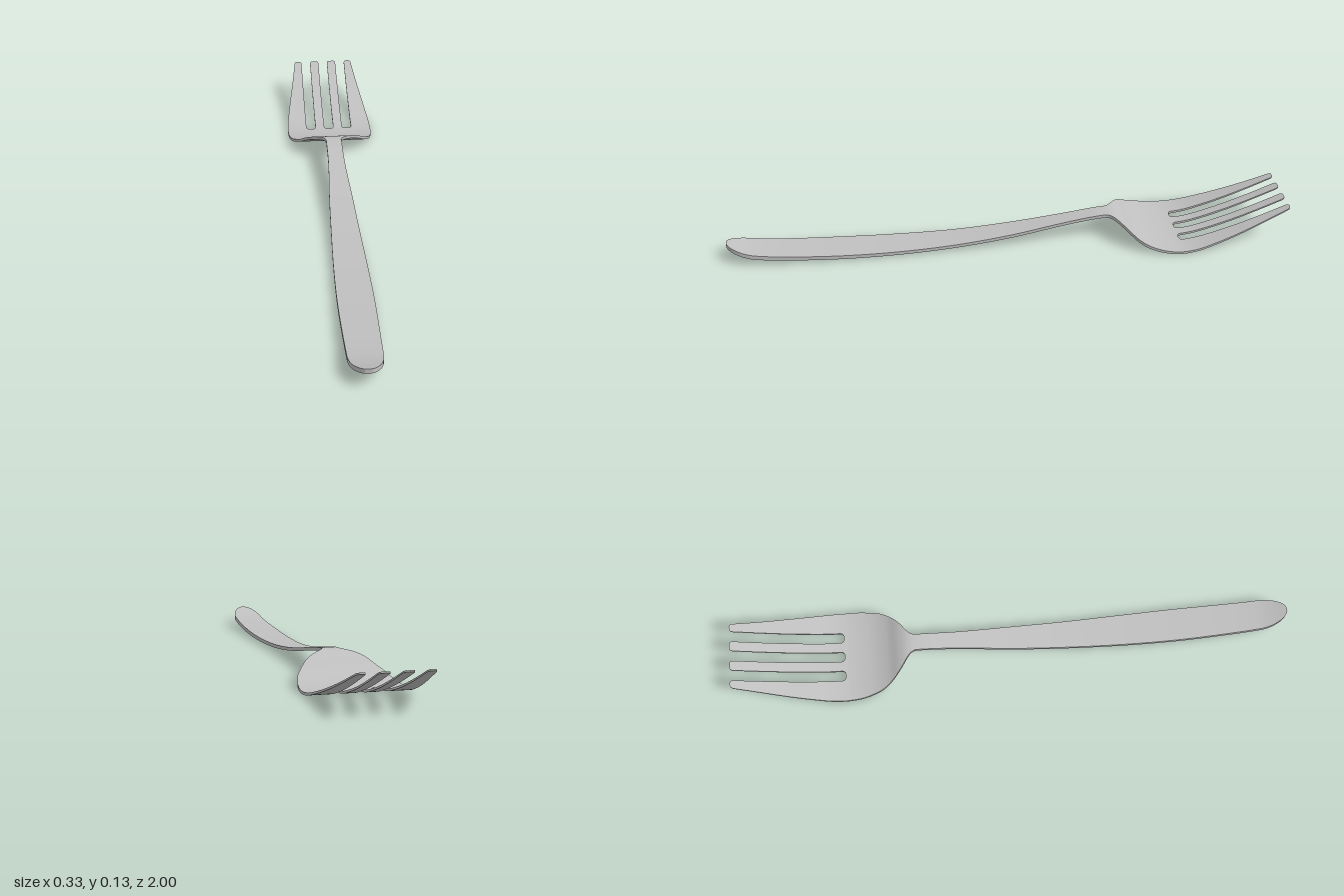
import * as THREE from 'three';
import { toCreasedNormals } from 'three/addons/utils/BufferGeometryUtils.js';

// Smooth interpolation through [z, value] pairs sorted by z
function curve(points) {
  const n = points.length - 1;
  const slope = (i) => {
    const a = points[Math.max(i - 1, 0)], b = points[Math.min(i + 1, n)];
    return (b[1] - a[1]) / (b[0] - a[0]);
  };
  return (z) => {
    let i = 0;
    while (i < n - 1 && z > points[i + 1][0]) i++;
    const [z0, v0] = points[i], [z1, v1] = points[i + 1];
    const h = z1 - z0, t = (z - z0) / h, t2 = t * t, t3 = t2 * t;
    return v0 * (2 * t3 - 3 * t2 + 1) + v1 * (3 * t2 - 2 * t3)
      + h * (slope(i) * (t3 - 2 * t2 + t) + slope(i + 1) * (t3 - t2));
  };
}

// Side profile: middle height and thickness along the fork
const height = curve([
  [-1, 0.132], [-0.9, 0.09], [-0.8, 0.052], [-0.7, 0.021], [-0.65, 0.01], [-0.6, 0.006],
  [-0.55, 0.011], [-0.5, 0.023], [-0.45, 0.046], [-0.41, 0.075], [-0.38, 0.089],
  [-0.35, 0.092], [-0.3, 0.088], [-0.2, 0.073], [0, 0.042], [0.2, 0.022], [0.4, 0.015],
  [0.6, 0.017], [0.8, 0.027], [0.9, 0.038], [0.95, 0.05], [1, 0.067],
]);
const thickness = curve([[-1, 0.005], [-0.6, 0.009], [-0.4, 0.012], [-0.2, 0.012], [0.4, 0.013], [1, 0.017]]);

// Half widths seen from above
const headWidth = curve([
  [-1, 0.119], [-0.9, 0.133], [-0.8, 0.148], [-0.7, 0.161], [-0.65, 0.166], [-0.6, 0.167],
  [-0.55, 0.164], [-0.5, 0.153], [-0.47, 0.142], [-0.43, 0.113], [-0.4, 0.08],
  [-0.38, 0.052], [-0.365, 0.036], [-0.35, 0.03], [-0.34, 0.029],
]);
const stemWidth = curve([
  [-0.35, 0.029], [-0.2, 0.031], [0, 0.042], [0.2, 0.05], [0.4, 0.057], [0.6, 0.06], [0.8, 0.057], [1, 0.052],
]);
const handleWidth = (z) => stemWidth(z) * (z > 0.9 ? Math.sqrt(Math.max(0, 1 - ((z - 0.9) / 0.1) ** 2)) : 1);

// Bent metal strip between two edge functions from z0 to z1
function strip(name, material, z0, z1, steps, left, right, capped = false) {
  const pos = [], idx = [];
  for (let i = 0; i <= steps; i++) {
    const z = z0 + (z1 - z0) * (1 - Math.cos(Math.PI * i / steps)) / 2;
    const y = height(z), t = thickness(z) / 2;
    const l = left(z), r = right(z);
    pos.push(l, y + t, z, r, y + t, z, r, y - t, z, l, y - t, z);
    if (i === steps) break;
    for (let j = 0; j < 4; j++) {
      const a = i * 4 + j, b = i * 4 + (j + 1) % 4;
      idx.push(a, a + 4, b + 4, a, b + 4, b);
    }
  }
  if (capped) idx.push(0, 1, 2, 0, 2, 3);
  const geo = new THREE.BufferGeometry();
  geo.setAttribute('position', new THREE.Float32BufferAttribute(pos, 3));
  geo.setIndex(idx);
  const mesh = new THREE.Mesh(toCreasedNormals(geo, 0.7), material);
  mesh.name = name;
  return mesh;
}

export function createModel() {
  const fork = new THREE.Group();
  fork.name = 'fork';
  const steel = new THREE.MeshStandardMaterial({ color: 0xc0c0c0 });
  steel.name = 'steel';

  const neckZ = -0.35, slotZ = -0.61;
  fork.add(strip('handle', steel, neckZ, 1, 100, (z) => -handleWidth(z), handleWidth));
  fork.add(strip('bowl', steel, slotZ, neckZ, 50, (z) => -headWidth(z), headWidth));

  // Slots with rounded inner ends
  const slotHalf = 0.0185, slotPitch = 0.0725;
  const slot = (z) => {
    const u = Math.max(0, 1 - (slotZ - z) / slotHalf);
    return slotHalf * Math.cbrt(Math.max(0, 1 - u ** 3));
  };
  // Rounded corners at the tine tips
  const tip = (z) => {
    const u = Math.max(0, 1 - (z + 1) / 0.012);
    return 0.009 * (1 - Math.sqrt(Math.max(0, 1 - u * u)));
  };
  for (let k = 0; k < 4; k++) {
    const left = (z) => (k === 0 ? -headWidth(z) : (k - 2) * slotPitch + slot(z)) + tip(z);
    const right = (z) => (k === 3 ? headWidth(z) : (k - 1) * slotPitch - slot(z)) - tip(z);
    fork.add(strip('tine' + (k + 1), steel, -1, slotZ, 60, left, right, true));
  }
  return fork;
}
